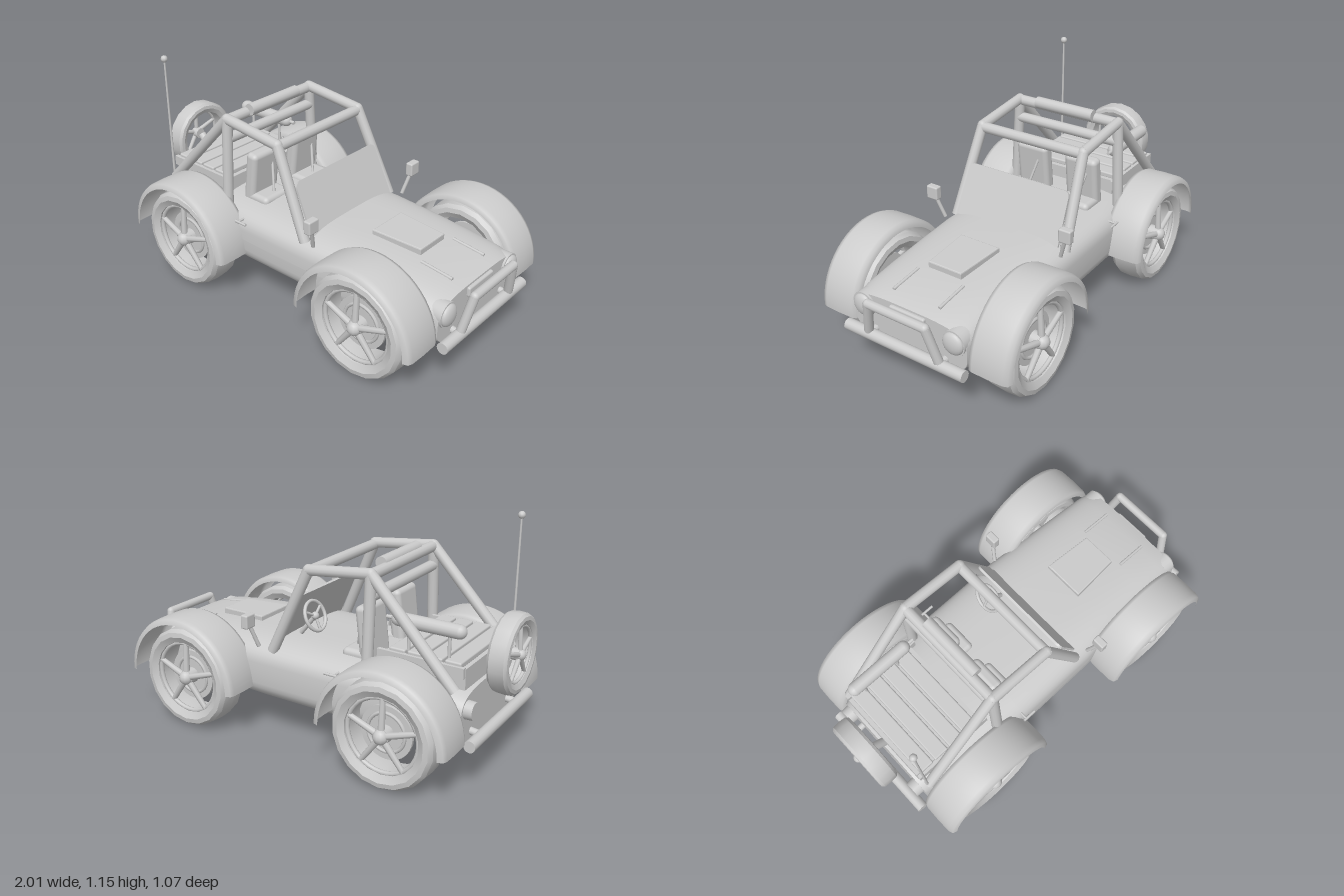
import * as THREE from 'three';
import { toCreasedNormals } from 'three/addons/utils/BufferGeometryUtils.js';
import { RoundedBoxGeometry } from 'three/addons/geometries/RoundedBoxGeometry.js';

const mat = new THREE.MeshStandardMaterial({ color: 0xcccccc });
const thin = new THREE.MeshStandardMaterial({ color: 0xcccccc, side: THREE.DoubleSide });
const V = (x, y, z) => new THREE.Vector3(x, y, z);

function add(parent, name, geo, x = 0, y = 0, z = 0, m = mat) {
  const mesh = new THREE.Mesh(geo, m);
  mesh.name = name;
  mesh.position.set(x, y, z);
  parent.add(mesh);
  return mesh;
}

// Straight tube between two points
function rod(parent, name, a, b, r, r2 = r, seg = 12) {
  const d = b.clone().sub(a);
  const mesh = add(parent, name, new THREE.CylinderGeometry(r2, r, d.length(), seg));
  mesh.position.copy(a).addScaledVector(d, 0.5);
  mesh.quaternion.setFromUnitVectors(V(0, 1, 0), d.normalize());
  return mesh;
}

// Bent tube: rods with ball joints at the inner corners
function frame(parent, name, pts, r) {
  for (let i = 1; i < pts.length; i++) {
    rod(parent, name, pts[i - 1], pts[i], r);
    if (i < pts.length - 1) add(parent, name + 'Joint', new THREE.SphereGeometry(r, 12, 8), ...pts[i].toArray());
  }
}

// Closed hull lofted through superellipse sections: [x, half width, bottom, top]
function bodyGeometry() {
  const secs = [[-0.86, 0.31, 0.19, 0.46], [-0.8, 0.325, 0.175, 0.48], [-0.55, 0.35, 0.17, 0.5], [-0.25, 0.37, 0.17, 0.5],
    [0.2, 0.37, 0.17, 0.5], [0.4, 0.355, 0.17, 0.495], [0.65, 0.34, 0.175, 0.48], [0.82, 0.33, 0.185, 0.46], [0.9, 0.32, 0.205, 0.435]];
  const first = secs[0], last = secs[secs.length - 1];
  const rings = [[...first, 0], [...first, 1], ...secs.map(s => [...s, 1]), [...last, 1], [...last, 0]];
  const n = 48, pos = [], idx = [];
  const pw = v => Math.sign(v) * Math.abs(v) ** (2 / 3.6);
  rings.forEach(([x, w, b, t, k], i) => {
    for (let j = 0; j <= n; j++) {
      const a = j / n * Math.PI * 2;
      pos.push(x, (b + t) / 2 + k * pw(Math.sin(a)) * (t - b) / 2, k * pw(Math.cos(a)) * w);
      if (i < rings.length - 1 && j < n) {
        const p = i * (n + 1) + j, q = p + n + 1;
        idx.push(p, q, p + 1, p + 1, q, q + 1);
      }
    }
  });
  const g = new THREE.BufferGeometry();
  g.setAttribute('position', new THREE.Float32BufferAttribute(pos, 3));
  g.setIndex(idx);
  g.computeVertexNormals();
  return g;
}

// Revolve [radius, z] points about the z axis
function revolve(pts, seg, start = 0, len = Math.PI * 2) {
  const g = new THREE.LatheGeometry(pts.map(p => new THREE.Vector2(...p)), seg, start, len);
  return g.rotateX(Math.PI / 2);
}

// Open five-spoke wheel, axle along z with its outside at +z
function makeWheel(name, R, W, brake) {
  const g = new THREE.Group(), h = W / 2;
  g.name = name;
  const tire = [[0.72, -0.8], [0.84, -1], [0.93, -0.95], [0.985, -0.7], [1, 0], [0.985, 0.7], [0.93, 0.95], [0.84, 1], [0.72, 0.8], [0.69, 0], [0.72, -0.8]];
  add(g, 'tire', toCreasedNormals(revolve(tire.map(([r, z]) => [r * R, z * h]), 18), 0.5));
  add(g, 'rim', new THREE.TorusGeometry(R * 0.69, R * 0.045, 8, 36), 0, 0, h * 0.6);
  for (let i = 0; i < 5; i++) {
    const a = Math.PI / 2 + i * Math.PI * 0.4, c = Math.cos(a) * R, s = Math.sin(a) * R;
    rod(g, 'spoke', V(c * 0.1, s * 0.1, h * 0.7), V(c * 0.7, s * 0.7, h * 0.6), R * 0.065, R * 0.05, 8);
  }
  add(g, 'hub', new THREE.CylinderGeometry(R * 0.15, R * 0.15, h * 0.7, 16).rotateX(Math.PI / 2), 0, 0, h * 0.4);
  add(g, 'hubCap', new THREE.SphereGeometry(R * 0.14, 12, 8), 0, 0, h * 0.75);
  if (brake) {
    add(g, 'brakeDisc', new THREE.CylinderGeometry(R * 0.5, R * 0.5, 0.015, 28).rotateX(Math.PI / 2), 0, 0, 0.01);
    add(g, 'brakeRing', new THREE.TorusGeometry(R * 0.36, R * 0.035, 6, 28), 0, 0, 0.018);
    rod(g, 'axle', V(0, 0, -h - 0.06), V(0, 0, 0.03), 0.03);
  }
  return g;
}

// Rounded rectangular panel standing in the zy plane, thickness along x
function panelGeometry(w, h, r, t) {
  const s = new THREE.Shape();
  s.moveTo(-w, 0).lineTo(w, 0).lineTo(w * 0.98, h - r).quadraticCurveTo(w * 0.98, h, w * 0.98 - r, h);
  s.lineTo(-w * 0.98 + r, h).quadraticCurveTo(-w * 0.98, h, -w * 0.98, h - r);
  return new THREE.ExtrudeGeometry(s, { depth: t, bevelEnabled: false }).rotateY(Math.PI / 2);
}

export function createModel() {
  const car = new THREE.Group();
  car.name = 'buggy';
  add(car, 'body', bodyGeometry());

  // Wheels and mudguards
  const guard = [[0.3, 0.32], [0.325, 0.325], [0.333, 0.345], [0.335, 0.43], [0.333, 0.505], [0.325, 0.527], [0.3, 0.535]];
  for (const s of [1, -1]) for (const [x, n] of [[-0.565, 'rear'], [0.575, 'front']]) {
    const w = makeWheel(n + 'Wheel', 0.262, 0.174, true);
    w.position.set(x, 0.263, 0.418 * s);
    if (s < 0) w.rotation.y = Math.PI;
    car.add(w);
    const pts = guard.map(([r, z]) => [r, z * s]);
    add(car, n + 'Mudguard', revolve(pts, 28, Math.PI / 2, Math.PI), x, 0.255, 0, thin);
  }

  // Spare wheel on its bracket
  const spare = makeWheel('spareWheel', 0.19, 0.1, false);
  spare.position.set(-0.95, 0.58, 0);
  spare.rotation.y = -Math.PI / 2;
  car.add(spare);
  rod(car, 'spareBracket', V(-0.82, 0.46, 0), V(-0.94, 0.58, 0), 0.022);

  // Roll cage
  const r = 0.027;
  for (const s of [1, -1]) {
    frame(car, 'cageSide', [V(-0.82, 0.47, 0.3 * s), V(-0.39, 0.925, 0.295 * s), V(-0.055, 0.888, 0.295 * s), V(0.14, 0.455, 0.325 * s)], r);
    rod(car, 'cageHoopPost', V(-0.39, 0.44, 0.32 * s), V(-0.39, 0.925, 0.295 * s), r);
  }
  for (const [x, y] of [[-0.39, 0.92], [-0.39, 0.822], [-0.055, 0.88]])
    rod(car, 'cageCrossbar', V(x, y, -0.295), V(x, y, 0.295), r);
  rod(car, 'lightBar', V(-0.365, 0.94, -0.167), V(-0.365, 0.94, 0.167), 0.03, 0.03, 16);

  // Windscreen and steering
  add(car, 'windscreen', panelGeometry(0.3, 0.27, 0.035, 0.012), 0.155, 0.475, 0).rotation.z = 0.42;
  const steer = new THREE.Group();
  steer.name = 'steering';
  steer.position.set(0.0, 0.615, -0.165);
  steer.rotation.z = -0.42;
  add(steer, 'steeringWheel', new THREE.TorusGeometry(0.075, 0.009, 8, 28).rotateY(Math.PI / 2));
  for (let i = 0; i < 3; i++) {
    const a = i * Math.PI * 2 / 3 - Math.PI / 2;
    rod(steer, 'steeringSpoke', V(0, 0, 0), V(0, Math.sin(a) * 0.075, Math.cos(a) * 0.075), 0.007, 0.007, 8);
  }
  add(steer, 'steeringHub', new THREE.SphereGeometry(0.02, 12, 8));
  rod(steer, 'steeringColumn', V(0, 0, 0), V(0.12, -0.06, 0), 0.012);
  car.add(steer);

  // Seats with belt straps
  for (const z of [-0.15, 0.145]) {
    add(car, 'seatBack', new RoundedBoxGeometry(0.07, 0.32, 0.185, 3, 0.025), -0.32, 0.58, z).rotation.z = -0.12;
    add(car, 'seatCushion', new RoundedBoxGeometry(0.16, 0.06, 0.185, 3, 0.025), -0.28, 0.49, z);
    rod(car, 'beltStrap', V(-0.28, 0.66, z - 0.04), V(-0.235, 0.5, z), 0.007, 0.007, 8);
  }

  // Slatted cargo deck and the canister above it
  add(car, 'cargoBase', new THREE.BoxGeometry(0.4, 0.1, 0.5), -0.645, 0.515, 0);
  for (let i = 0; i < 4; i++)
    add(car, 'cargoSlat', new RoundedBoxGeometry(0.08, 0.03, 0.52, 2, 0.008), -0.785 + i * 0.092, 0.575, 0);
  for (const s of [1, -1]) add(car, 'cargoRail', new THREE.BoxGeometry(0.43, 0.05, 0.02), -0.63, 0.55, 0.265 * s);
  add(car, 'canister', new THREE.CapsuleGeometry(0.033, 0.3, 6, 16).rotateZ(Math.PI / 2), -0.645, 0.718, -0.225);
  rod(car, 'canisterNozzle', V(-0.48, 0.718, -0.225), V(-0.435, 0.718, -0.225), 0.009);
  for (const x of [-0.75, -0.55]) rod(car, 'canisterBracket', V(x, 0.56, -0.225), V(x, 0.7, -0.225), 0.008);

  // Antenna
  rod(car, 'antenna', V(-0.83, 0.45, 0.3), V(-0.83, 1.12, 0.3), 0.007, 0.005, 8);
  add(car, 'antennaTip', new THREE.SphereGeometry(0.018, 10, 8), -0.83, 1.13, 0.3);

  // Bumpers and bull bar
  rod(car, 'frontBumper', V(0.94, 0.248, -0.335), V(0.94, 0.248, 0.335), 0.028, 0.028, 16);
  rod(car, 'rearBumper', V(-0.915, 0.248, -0.33), V(-0.915, 0.248, 0.33), 0.028, 0.028, 16);
  frame(car, 'bullBar', [V(0.945, 0.27, -0.2), V(0.975, 0.445, -0.16), V(0.975, 0.445, 0.16), V(0.945, 0.27, 0.2)], 0.022);
  for (const s of [1, -1]) {
    rod(car, 'frontBumperMount', V(0.85, 0.26, 0.2 * s), V(0.94, 0.25, 0.2 * s), 0.018);
    rod(car, 'rearBumperMount', V(-0.83, 0.26, 0.2 * s), V(-0.915, 0.25, 0.2 * s), 0.018);
    rod(car, 'headlightRim', V(0.85, 0.367, 0.255 * s), V(0.91, 0.367, 0.255 * s), 0.062, 0.062, 24);
    add(car, 'headlight', new THREE.SphereGeometry(0.055, 20, 12).scale(0.45, 1, 1), 0.91, 0.367, 0.255 * s);
    rod(car, 'tailLight', V(-0.84, 0.38, 0.25 * s), V(-0.9, 0.38, 0.25 * s), 0.045, 0.042, 20);

    // Mirrors, door handles and bonnet hinges
    rod(car, 'mirrorStalk', V(0.21, 0.47, 0.345 * s), V(0.235, 0.59, 0.385 * s), 0.01, 0.01, 8);
    add(car, 'mirror', new RoundedBoxGeometry(0.04, 0.07, 0.066, 2, 0.008), 0.238, 0.608, 0.388 * s);
    rod(car, 'doorHandle', V(-0.27, 0.44, 0.385 * s), V(-0.2, 0.44, 0.385 * s), 0.007, 0.007, 8);
    rod(car, 'doorHandleMount', V(-0.255, 0.44, 0.34 * s), V(-0.255, 0.44, 0.385 * s), 0.006, 0.006, 8);
    rod(car, 'bonnetStrip', V(0.67, 0.477, 0.13 * s), V(0.84, 0.457, 0.13 * s), 0.008, 0.008, 8);
  }

  // Bonnet scoop, tapering to the nose, and grille
  const scoop = new THREE.Shape([[0.38, -0.105], [0.635, -0.088], [0.635, 0.088], [0.38, 0.105]].map(p => new THREE.Vector2(...p)));
  const scoopGeo = new THREE.ExtrudeGeometry(scoop, { depth: 0.03, bevelSize: 0.006, bevelThickness: 0.006, bevelSegments: 2 });
  add(car, 'bonnetScoop', scoopGeo.rotateX(-Math.PI / 2), 0, 0.495, 0).rotation.z = -0.03;
  add(car, 'grille', new RoundedBoxGeometry(0.03, 0.05, 0.2, 2, 0.01), 0.9, 0.4, 0);
  return car;
}
